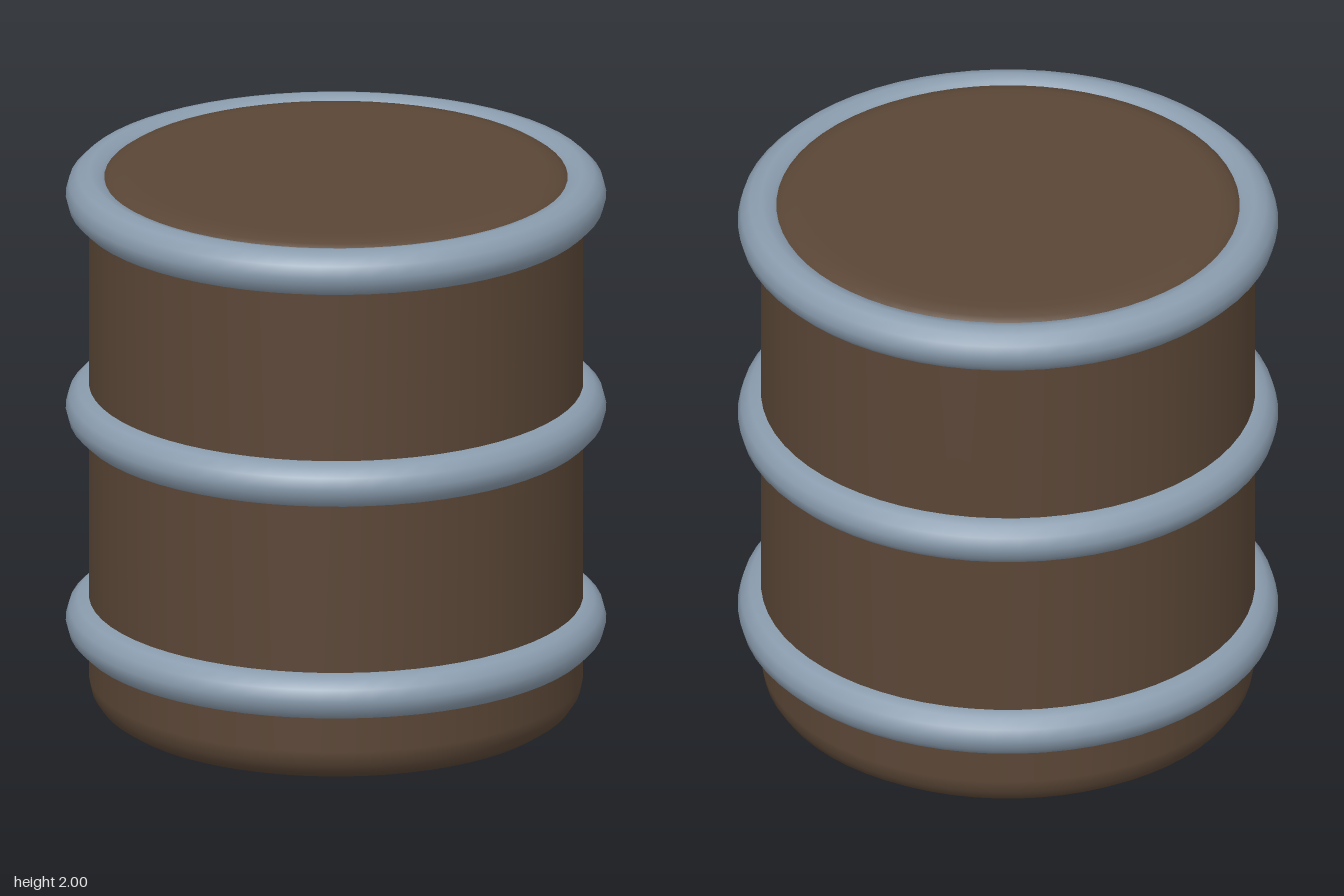
import * as THREE from 'three';

const HEIGHT = 2, RADIUS = 0.872, BEVEL = 0.125, SIDES = 64;

export function createModel() {
  const barrel = new THREE.Group();
  barrel.name = 'barrel';
  const wood = new THREE.MeshStandardMaterial({ color: 0x5a4636 });
  const metal = new THREE.MeshStandardMaterial({ color: 0x8a9cae });

  // Body: closed drum with rounded rims at both ends
  const profile = [new THREE.Vector2(0, 0), new THREE.Vector2(0.7, 0)];
  const addRim = (centreY, startAngle) => {
    for (let i = 0; i <= 4; i++) {
      const a = startAngle + (i / 4) * (Math.PI / 2);
      profile.push(new THREE.Vector2(
        RADIUS - BEVEL + BEVEL * Math.cos(a),
        centreY + BEVEL * Math.sin(a)));
    }
  };
  addRim(BEVEL, -Math.PI / 2);
  addRim(HEIGHT - BEVEL, 0);
  profile.push(new THREE.Vector2(0.7, HEIGHT), new THREE.Vector2(0, HEIGHT));
  const body = new THREE.Mesh(new THREE.LatheGeometry(profile, SIDES), wood);
  body.name = 'body';
  barrel.add(body);

  // Three round hoops; the highest one frames the lid
  const hoopGeometry = new THREE.TorusGeometry(0.87, 0.084, 12, SIDES).rotateX(Math.PI / 2);
  [['lowerHoop', 0.337], ['middleHoop', 1.125], ['upperHoop', 1.913]].forEach(([name, y]) => {
    const hoop = new THREE.Mesh(hoopGeometry, metal);
    hoop.name = name;
    hoop.position.y = y;
    barrel.add(hoop);
  });

  return barrel;
}
